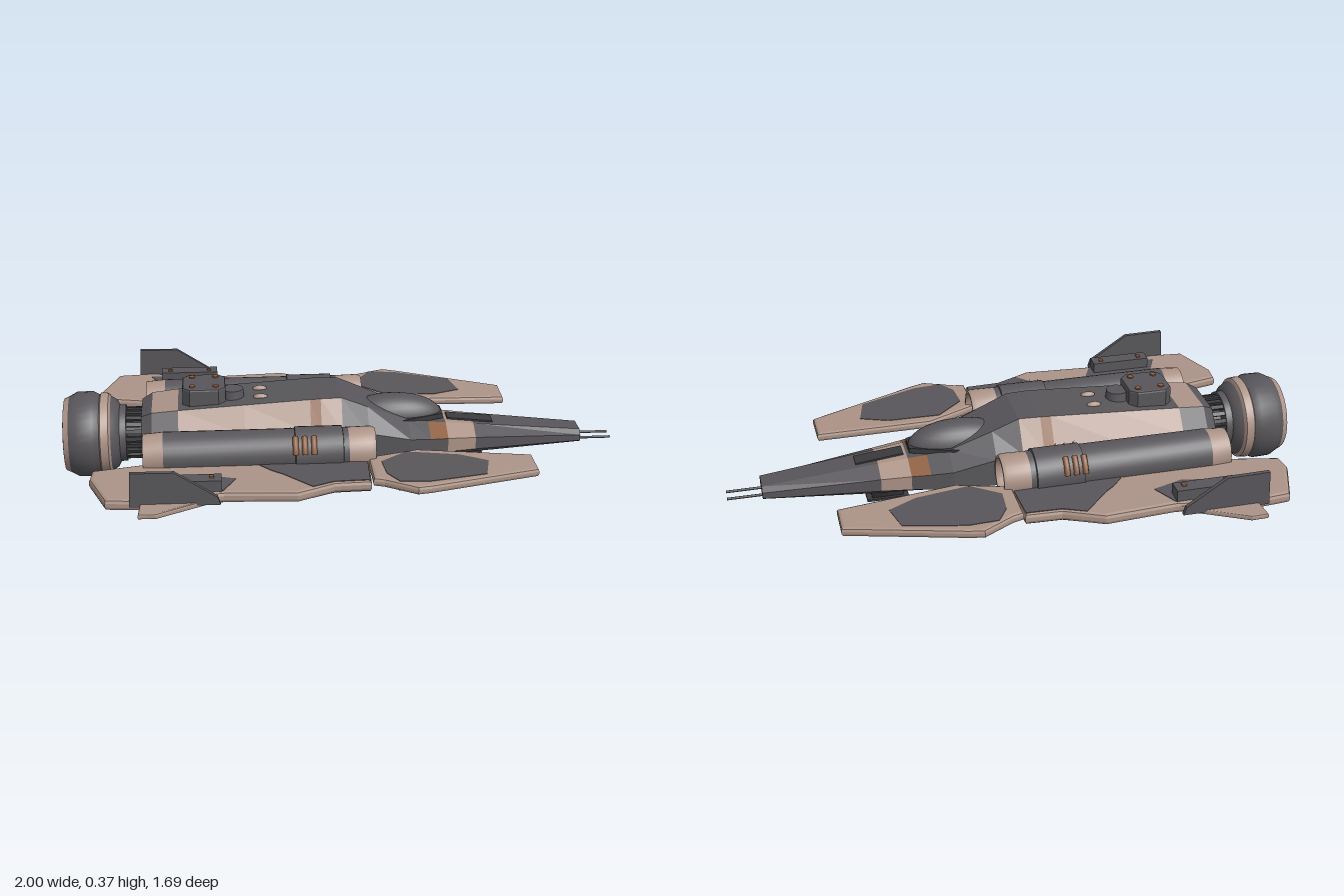
import * as THREE from 'three';
import { toCreasedNormals } from 'three/addons/utils/BufferGeometryUtils.js';

const mat = (name, color) => {
  const m = new THREE.MeshStandardMaterial({ color });
  m.name = name;
  return m;
};

export function createModel() {
  const grey = mat('dark grey', 0x58565a), beige = mat('dusty beige', 0xac9387);
  const brown = mat('rust brown', 0x8c5d3e), black = mat('charcoal', 0x3b3a3d);
  const root = new THREE.Group();
  root.name = 'starfighter';
  // ship space: +x is the nose, +z the pilot's right; the ship stands turned by 30 degrees
  const ship = new THREE.Group();
  ship.name = 'ship';
  ship.rotation.y = Math.PI / 6;
  ship.position.set(-0.0485, 0, -0.084);
  root.add(ship);

  const add = (name, geo, material, x = 0, y = 0, z = 0, parent = ship) => {
    const m = new THREE.Mesh(geo, material);
    m.name = name;
    m.position.set(x, y, z);
    parent.add(m);
    return m;
  };
  const box = (name, m, l, h, w, x, y, z, parent) =>
    add(name, new THREE.BoxGeometry(l, h, w), m, x, y, z, parent);
  // turned part along the ship's length; points are [position, radius] from rear to front
  const turned = (name, m, pts, y, z, seg = 28) => {
    const g = new THREE.LatheGeometry(pts.map(([s, r]) => new THREE.Vector2(r, s)), seg);
    return add(name, toCreasedNormals(g.rotateZ(-Math.PI / 2), 0.6), m, 0, y, z);
  };
  // flat plate from an outline of [x, z], centred on y
  const plate = (name, m, pts, thick, y, bevel, parent, side = 1) => {
    const shape = new THREE.Shape(pts.map(([a, b]) => new THREE.Vector2(a, b * side)));
    const g = new THREE.ExtrudeGeometry(shape, {
      depth: thick - 2 * bevel, bevelEnabled: bevel > 0, bevelSize: bevel,
      bevelThickness: bevel, bevelOffset: -bevel, bevelSegments: 2,
    });
    g.rotateX(Math.PI / 2).translate(0, thick / 2 - bevel, 0);
    return add(name, g, m, 0, y, 0, parent);
  };

  // fuselage: eight-sided sections [x, half widths top/mid/bottom, heights top/shoulder/belt/bottom]
  const sections = [
    [-0.64, 0.09, 0.15, 0.14, 0.27, 0.20, 0.10, 0.05],
    [-0.60, 0.105, 0.17, 0.16, 0.29, 0.21, 0.09, 0.04],
    [-0.50, 0.11, 0.175, 0.16, 0.30, 0.22, 0.10, 0.04],
    [-0.25, 0.11, 0.175, 0.16, 0.315, 0.22, 0.10, 0.04],
    [0.00, 0.11, 0.175, 0.16, 0.33, 0.22, 0.10, 0.04],
    [0.04, 0.11, 0.175, 0.16, 0.332, 0.22, 0.10, 0.06],
    [0.12, 0.105, 0.175, 0.15, 0.332, 0.22, 0.10, 0.095],
    [0.22, 0.10, 0.175, 0.14, 0.29, 0.21, 0.105, 0.09],
    [0.38, 0.085, 0.175, 0.13, 0.225, 0.18, 0.11, 0.09],
    [0.46, 0.07, 0.155, 0.12, 0.208, 0.17, 0.11, 0.09],
    [0.53, 0.062, 0.14, 0.11, 0.20, 0.165, 0.11, 0.09],
    [0.64, 0.055, 0.122, 0.10, 0.188, 0.158, 0.11, 0.09],
    [1.065, 0.04, 0.06, 0.05, 0.145, 0.128, 0.105, 0.098],
  ];
  const rings = sections.map(([x, a, b, c, y0, y1, y2, y3]) => {
    const half = [[a, y0], [b, y1], [b, y2], [c, y3]];
    return [...half.map(([z, y]) => [x, y, z]), ...half.reverse().map(([z, y]) => [x, y, -z])];
  });
  const skin = (i, f) => {
    const shoulder = f === 0 || f === 6;
    if (i === 1) return f === 7 ? 1 : 0;
    if (i === 2 || i === 3 || i === 5) return shoulder ? 1 : 0;
    if (i === 4 || i === 9) return shoulder ? 2 : 0;
    if (i === 10) return shoulder || f === 7 || f === 1 || f === 5 ? 1 : 0;
    return 0;
  };
  const pos = [], hull = new THREE.BufferGeometry();
  const tri = (m, ...p) => {
    hull.addGroup(pos.length / 3, 3, m);
    p.forEach((v) => pos.push(...v));
  };
  for (let i = 0; i < rings.length - 1; i++) {
    for (let f = 0; f < 8; f++) {
      const g = (f + 1) % 8, A = rings[i], B = rings[i + 1];
      tri(skin(i, f), A[f], A[g], B[g]);
      tri(skin(i, f), A[f], B[g], B[f]);
    }
  }
  const first = rings[0], last = rings[rings.length - 1];
  for (let f = 1; f < 7; f++) {
    tri(0, first[0], first[f + 1], first[f]);
    tri(0, last[0], last[f], last[f + 1]);
  }
  hull.setAttribute('position', new THREE.Float32BufferAttribute(pos, 3));
  hull.computeVertexNormals();
  add('fuselage', hull, [grey, beige, brown]);

  // cockpit
  add('canopy', new THREE.SphereGeometry(1, 28, 16), grey, 0.33, 0.215, 0).scale.set(0.19, 0.085, 0.082);
  plate('canopyFrame', black, [[0.12, -0.1], [0.36, -0.1], [0.52, -0.04], [0.52, 0.04], [0.36, 0.1], [0.12, 0.1]],
    0.02, 0.218, 0, ship);
  const nosePanel = box('nosePanel', black, 0.18, 0.009, 0.06, 0.63, 0.191, 0);
  nosePanel.rotation.z = -0.11;

  // turret block with rivets and hatch on the spine
  const t = 0.082, k = 0.055;
  const block = plate('turret', grey, [[-t, -k], [-k, -t], [k, -t], [t, -k], [t, k], [k, t], [-k, t], [-t, k]],
    0.1, 0.32, 0.008, ship);
  block.position.x = -0.4;
  for (const a of [-1, 1]) {
    for (const b of [-1, 1]) {
      add('turretRivet', new THREE.CylinderGeometry(0.012, 0.012, 0.01, 10), brown, -0.4 + a * 0.045, 0.37, b * 0.048);
    }
    add('spineVent', new THREE.SphereGeometry(1, 14, 8), beige, -0.185, 0.32, a * 0.042).scale.set(0.028, 0.012, 0.014);
  }
  add('spineHatch', new THREE.CylinderGeometry(0.04, 0.045, 0.04, 18), grey, -0.29, 0.325, 0.01);

  // twin nose guns and chin gear
  for (const z of [-0.026, 0.026]) {
    add('gun', new THREE.CylinderGeometry(0.005, 0.005, 0.16, 8).rotateZ(Math.PI / 2), black, 1.112, 0.102, z);
  }
  const strut = new THREE.CylinderGeometry(0.095, 0.08, 0.06, 4).rotateY(Math.PI / 4);
  add('chinStrut', strut, black, 0.61, 0.07, 0);
  box('chinSkid', black, 0.155, 0.008, 0.14, 0.61, 0.043, 0);

  // main engine: open cage of rods, collar rings and hollow nozzle
  const ey = 0.168;
  turned('engineCore', black, [[-0.76, 0], [-0.76, 0.05], [-0.6, 0.05]], ey, 0);
  for (let i = 0; i < 22; i++) {
    const a = (i / 22) * Math.PI * 2;
    const rod = box('cageRod', black, 0.1, 0.012, 0.016, -0.665, ey + Math.cos(a) * 0.094, Math.sin(a) * 0.094);
    rod.rotation.x = a;
  }
  turned('engineCollar', grey, [[-0.76, 0.145], [-0.735, 0.13], [-0.725, 0.11], [-0.7, 0.108], [-0.7, 0]], ey, 0, 36);
  turned('engineBand', beige, [[-0.80, 0.15], [-0.795, 0.158], [-0.765, 0.155], [-0.755, 0.14], [-0.755, 0]], ey, 0, 36);
  turned('nozzle', grey, [[-0.915, 0.147], [-0.885, 0.163], [-0.825, 0.164], [-0.8, 0.15]], ey, 0, 36);
  turned('nozzleRim', beige, [[-0.925, 0.115], [-0.937, 0.125], [-0.935, 0.138], [-0.915, 0.147]], ey, 0, 36);
  turned('nozzleThroat', grey, [[-0.85, 0], [-0.85, 0.1], [-0.925, 0.115]], ey, 0, 36);

  // wing outlines [x, z] for the right side
  const mainWing = [[0.205, 0.30], [0.195, 0.51], [0.063, 0.515], [-0.077, 0.583], [-0.337, 0.565],
    [-0.62, 0.61], [-0.756, 0.597], [-0.822, 0.415], [-0.815, 0.343], [-0.62, 0.30]];
  const foil = [[0.2, 0.32], [0.2, 0.51], [0.24, 0.52], [0.354, 0.581], [0.406, 0.567], [0.826, 0.416],
    [0.824, 0.28], [0.39, 0.246], [0.324, 0.272]];
  const foilPatch = [[0.292, 0.535], [0.402, 0.533], [0.621, 0.465], [0.647, 0.35], [0.544, 0.3],
    [0.346, 0.28], [0.244, 0.368], [0.252, 0.468]];
  const midPatch = [[0.198, 0.32], [0.19, 0.498], [0.06, 0.503], [-0.02, 0.54], [-0.12, 0.43], [-0.16, 0.397], [-0.226, 0.32]];
  const rearPatch = [[-0.34, 0.552], [-0.293, 0.455], [-0.408, 0.416], [-0.57, 0.45], [-0.62, 0.56]];
  const finlet = [[-0.32, 0.55], [-0.575, 0.692], [-0.638, 0.69], [-0.63, 0.55]];

  for (const side of [-1, 1]) {
    const word = side > 0 ? 'right' : 'left';
    const wing = new THREE.Group();
    wing.name = word + 'Wing';
    ship.add(wing);
    plate('mainWing', beige, mainWing, 0.042, 0.152, 0.014, wing, side);
    plate('finlet', beige, finlet, 0.02, 0.15, 0.006, wing, side);

    // front foil hinged slightly downward
    const front = new THREE.Group();
    front.name = word + 'FrontFoil';
    front.position.set(0.2, 0.168, 0);
    front.rotation.z = -0.045;
    wing.add(front);
    const shift = (pts) => pts.map(([x, z]) => [x - 0.2, z]);
    plate('foil', beige, shift(foil), 0.034, 0, 0.012, front, side);

    // camouflage plates above and below
    for (const up of [-1, 1]) {
      plate('foilPatch', grey, shift(foilPatch), 0.004, up * 0.017, 0, front, side);
      plate('midPatch', grey, midPatch, 0.004, 0.152 + up * 0.021, 0, wing, side);
      plate('rearPatch', grey, rearPatch, 0.004, 0.152 + up * 0.021, 0, wing, side);
    }

    // upright fin and equipment box near the wing's rear
    const fin = new THREE.Shape([[-0.67, 0.15], [-0.35, 0.15], [-0.36, 0.18], [-0.51, 0.278], [-0.665, 0.28]]
      .map(([x, y]) => new THREE.Vector2(x, y)));
    const finGeo = new THREE.ExtrudeGeometry(fin, { depth: 0.016, bevelEnabled: false });
    add('fin', finGeo, grey, 0, 0, side * 0.605 - 0.008, wing);
    box('wingBox', grey, 0.23, 0.05, 0.06, -0.46, 0.19, side * 0.525, wing);
    for (const x of [-0.54, -0.38]) box('boxLatch', brown, 0.016, 0.008, 0.016, x, 0.217, side * 0.52, wing);

    // side engine pod with hollow intake
    const z = side * 0.262, y = 0.19;
    turned('podTail', beige, [[-0.6, 0], [-0.6, 0.06], [-0.63, 0.068], [-0.63, 0.078], [-0.555, 0.084]], y, z);
    turned('podBody', grey, [[-0.555, 0.084], [-0.07, 0.084], [-0.068, 0.09], [0.108, 0.09], [0.11, 0.083], [0.13, 0.083]], y, z);
    turned('podIntake', beige, [[0.13, 0.083], [0.215, 0.085], [0.23, 0.079], [0.23, 0.07], [0.215, 0.064], [0.13, 0.055]], y, z);
    turned('podFan', black, [[0.13, 0.055], [0.13, 0]], y, z);
    for (let i = -1; i <= 1; i++) {
      for (const a of [-1, 1]) {
        const rib = new THREE.TorusGeometry(0.089, 0.011, 8, 10, 0.75);
        rib.rotateZ(Math.PI / 2 - 0.375).rotateY(Math.PI / 2);
        add('podRib', rib, brown, -0.035 + i * 0.034, y, z).rotation.x = a * 0.95;
      }
    }
  }
  return root;
}
